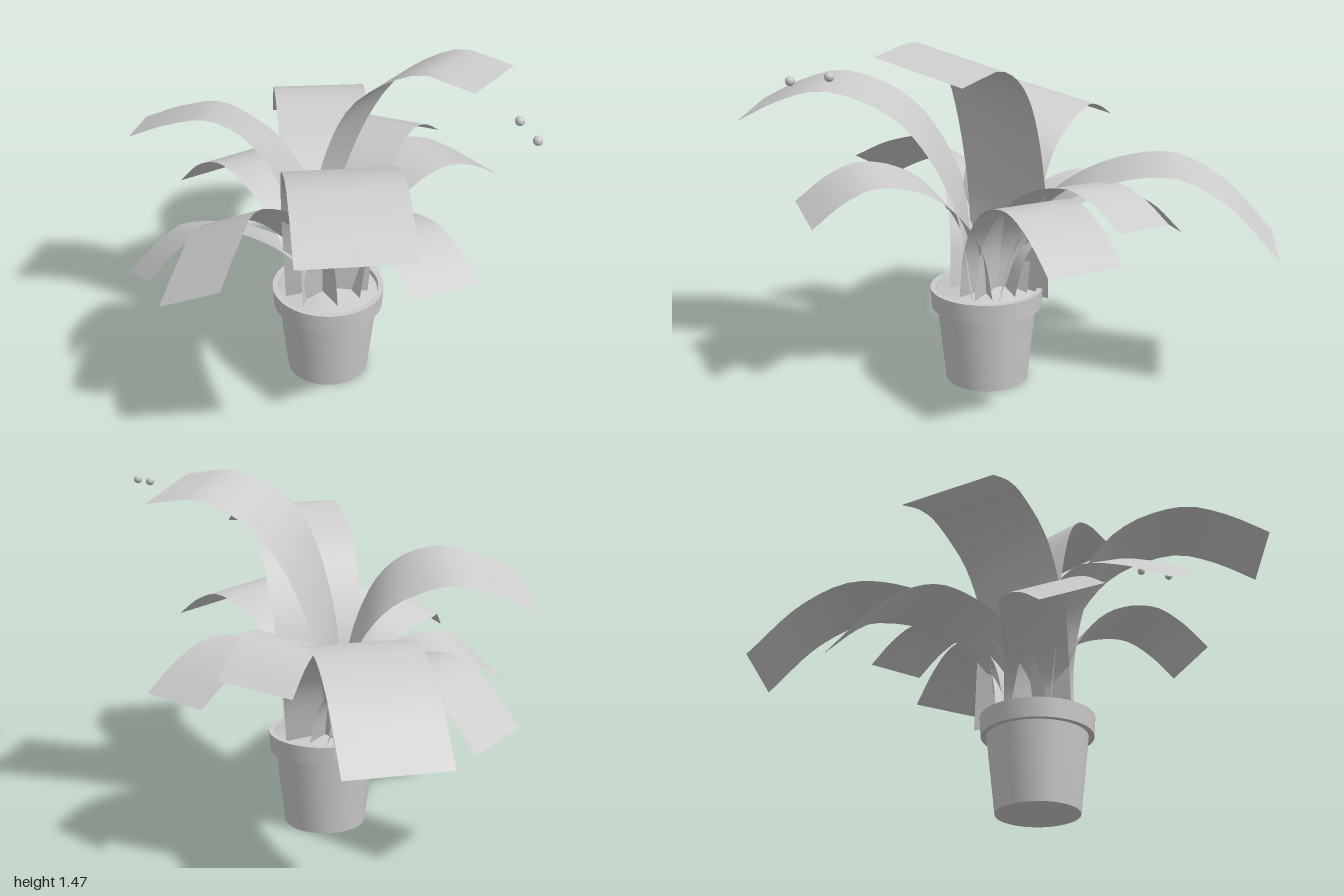
import * as THREE from 'three';
import { toCreasedNormals } from 'three/addons/utils/BufferGeometryUtils.js';

const grey = new THREE.MeshStandardMaterial({ color: 0xcccccc });
const leafMaterial = new THREE.MeshStandardMaterial({ color: 0xcccccc, side: THREE.DoubleSide });
const POT = [0.01, 0, 0.07];

// Leaf centre line: a quarter ellipse from the root up to the peak, then a rounded droop to the tip.
function leafCurve(root, peak, tip) {
  const points = [0, 30, 60, 90].map((degrees) => {
    const a = THREE.MathUtils.degToRad(degrees);
    const out = 1 - Math.cos(a);
    return new THREE.Vector3(
      THREE.MathUtils.lerp(root.x, peak.x, out),
      THREE.MathUtils.lerp(root.y, peak.y, Math.sin(a)),
      THREE.MathUtils.lerp(root.z, peak.z, out));
  });
  const droop = peak.clone().lerp(tip, 0.5);
  droop.y += 0.2 * (peak.y - tip.y);
  return new THREE.CatmullRomCurve3([...points, droop, tip], false, 'centripetal');
}

// Ribbon along the centre line; its cross vector turns from root to tip.
function leafGeometry(root, peak, tip, tipAcross) {
  const curve = leafCurve(root, peak, tip);
  const rootWidth = Math.min(0.34, tipAcross.length());
  const rootAcross = new THREE.Vector3(root.z - peak.z, 0, peak.x - root.x).setLength(rootWidth);
  if (rootAcross.dot(tipAcross) < 0) rootAcross.negate();

  const steps = 24, cols = 4;
  const geometry = new THREE.PlaneGeometry(1, 1, cols, steps);
  const across = new THREE.Vector3(), v = new THREE.Vector3();
  for (let i = 0; i <= steps; i++) {
    const t = i / steps;
    const centre = curve.getPointAt(t);
    across.lerpVectors(rootAcross, tipAcross, Math.min(1, t * 1.6));
    for (let j = 0; j <= cols; j++) {
      v.copy(centre).addScaledVector(across, j / cols - 0.5);
      geometry.attributes.position.setXYZ(i * (cols + 1) + j, v.x, v.y, v.z);
    }
  }
  geometry.computeVertexNormals();
  return geometry;
}

export function createModel() {
  const model = new THREE.Group();
  const add = (name, geometry, position = [0, 0, 0], material = grey, parent = model) => {
    const mesh = new THREE.Mesh(geometry, material);
    mesh.name = name;
    mesh.position.set(...position);
    parent.add(mesh);
  };

  // Tapered pot with a collar and a hollow top
  const profile = [[0, 0], [0.17, 0], [0.205, 0.32], [0.228, 0.32], [0.233, 0.4], [0.21, 0.4], [0.205, 0.37]]
    .map(([r, y]) => new THREE.Vector2(r, y));
  add('pot', toCreasedNormals(new THREE.LatheGeometry(profile, 40), 0.6), POT);

  // Soil, slightly mounded
  const mound = [[0.207, 0.38], [0.1, 0.4], [0, 0.425]].map(([r, y]) => new THREE.Vector2(r, y));
  add('soil', new THREE.LatheGeometry(mound, 40), POT);

  // Arching leaves: peak, tip and the vector across the tip
  const leaves = new THREE.Group();
  leaves.name = 'leaves';
  model.add(leaves);
  const addLeaf = (name, peak, tip, across, root = [0.01 + 0.1 * peak[0], 0.36, 0.06 + 0.07 * peak[2]]) => {
    const vectors = [root, peak, tip, across].map((p) => new THREE.Vector3(...p));
    add(name, leafGeometry(...vectors), [0, 0, 0], leafMaterial, leaves);
  };
  addLeaf('tallLeaf', [0.33, 1.435, 0.34], [0.425, 1.41, 0.54], [0.37, -0.06, -0.175], [0.03, 0.36, -0.03]);
  addLeaf('frontRightLeaf', [-0.31, 1.25, 0.58], [-0.495, 1.125, 0.88], [0.36, 0, 0.22]);
  addLeaf('frontLeaf', [-0.02, 0.93, 0.56], [-0.03, 0.8, 0.83], [0.295, -0.03, 0.035]);
  addLeaf('backLeftLeaf', [0.42, 0.945, -0.53], [0.66, 0.63, -0.89], [0.335, 0, 0.22]);
  addLeaf('backLeaf', [-0.01, 0.78, -0.46], [-0.02, 0.55, -0.8], [0.295, -0.03, -0.02]);
  addLeaf('backRightLeaf', [-0.24, 1.12, -0.34], [-0.465, 1.015, -0.6], [0.23, -0.09, -0.26]);
  addLeaf('leftLeaf', [0.48, 0.87, 0.07], [0.82, 0.715, 0.07], [0, 0, 0.305]);
  addLeaf('leftRearLeaf', [0.47, 0.92, -0.15], [0.705, 0.8, -0.245], [0.1, 0.035, 0.28]);
  addLeaf('rightLeaf', [-0.46, 0.88, 0.04], [-0.77, 0.75, 0.245], [0.125, 0.14, 0.23]);
  addLeaf('rightRearLeaf', [-0.44, 0.71, -0.22], [-0.72, 0.58, -0.22], [-0.055, 0.105, 0.245]);

  // Two small droplets in front of the tallest leaf
  [[0.245, 1.385, 0.945], [0.285, 1.395, 0.815]].forEach((p, i) =>
    add(`droplet${i + 1}`, new THREE.SphereGeometry(0.018, 12, 8), p));

  return model;
}
